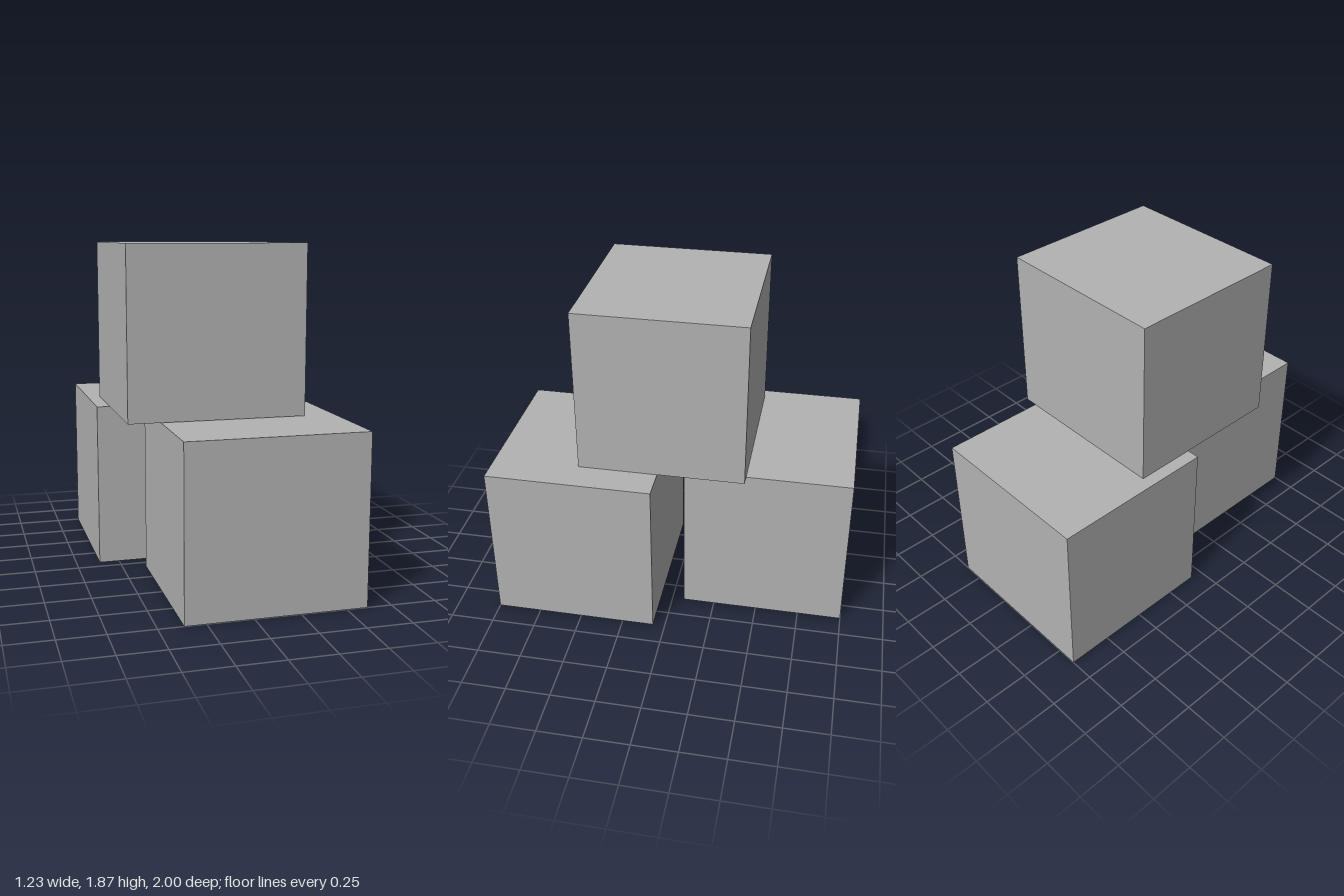
import * as THREE from 'three';

export function createModel() {
  const group = new THREE.Group();
  const grey = new THREE.MeshStandardMaterial({ color: 0xb2b2b2 });
  grey.name = 'plain grey';

  // All three crates share one size
  const W = 0.98, H = 0.932, D = 0.93;
  const crate = new THREE.BoxGeometry(W, H, D);

  const addCrate = (name, x, bottom, z) => {
    const mesh = new THREE.Mesh(crate, grey);
    mesh.name = name;
    mesh.position.set(x, bottom + H / 2, z);
    group.add(mesh);
  };

  // Two staggered crates on the ground, one stacked across them
  addCrate('frontCrate', 0.125, 0, 0.535);
  addCrate('backCrate', -0.125, 0, -0.535);
  addCrate('topCrate', -0.055, 0.935, 0.05);

  return group;
}
